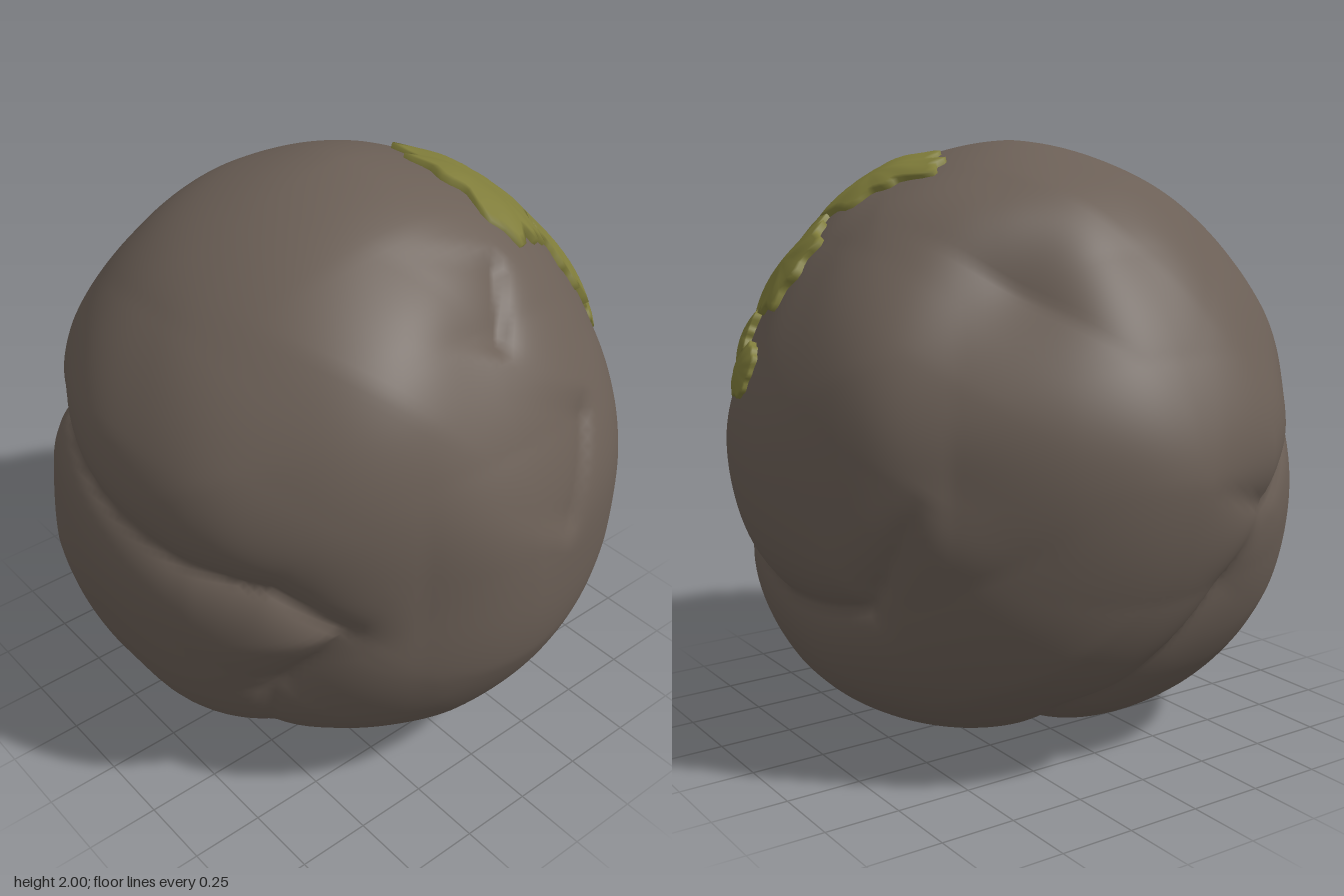
import * as THREE from 'three';
import { mergeVertices } from 'three/addons/utils/BufferGeometryUtils.js';

const rockMat = new THREE.MeshStandardMaterial({ color: 0x6b5f56 });
rockMat.name = 'rock brown';
const mossMat = new THREE.MeshStandardMaterial({ color: 0x7f7c3a });
mossMat.name = 'moss green';

// A plane through the boulder's centre, turned by azimuth and elevation, with evenly spaced radii around it
function section(azimuth, elevation, radii) {
  const a = THREE.MathUtils.degToRad(azimuth), e = THREE.MathUtils.degToRad(elevation);
  const normal = new THREE.Vector3(Math.sin(a) * Math.cos(e), Math.sin(e), Math.cos(a) * Math.cos(e));
  const right = new THREE.Vector3(Math.cos(a), 0, -Math.sin(a));
  return { normal, right, up: normal.clone().cross(right), radii };
}

const sections = [
  section(0, 0, [.97, .94, .91, .95, .99, .97, .955, .99, .98, 1, 1.05, 1.06, 1, 1.02, 1.04, .99]),
  section(-90, 0, [.96, .925, .92, .99, .99, .95, .91, .935, .99, .98, 1.02, 1.02, 1, 1.01, 1.04, 1.03]),
  section(0, -90, [.97, .97, .96, .975, .98, .91, .92, .97, .97, .96, .99, 1.01, 1, .94, .87, .93]),
  section(35, 25, [.92, .88, .82, .98, .97, .97, .985, 1, .97, .95, 1.02, 1.05, 1.04, 1.08, 1.06, 1]),
  section(215, 25, [.96, .97, 1, .97, .98, .965, .96, .965, .94, .92, 1, .985, 1.05, 1.08, 1.07, .985]),
  section(140, -30, [.94, .955, .94, .955, .96, .98, .94, .925, .945, 1, 1.03, 1.07, 1.04, 1.06, 1.07, 1.04]),
];

// Creases: valleys along a path, with their own width on the left and right side
const V = (p) => new THREE.Vector3(...p).normalize();
const crease = (depth, left, right, pts) => ({ depth, left, right, pts: pts.map(V) });
const creases = [
  crease(.07, .1, .09, [[.2, -.85, .5], [.5, -.58, .62], [.78, -.28, .4], [.88, -.45, 0],
    [.8, -.42, -.4], [.75, -.02, -.62]]),
  crease(.07, .1, .09, [[-.05, -.02, -.97], [-.37, -.13, -.89], [-.84, .21, -.44], [-.92, .04, .33],
    [-.75, 0, .6], [-.57, -.18, .75], [-.69, -.5, .5], [-.4, -.92, .2]]),
  crease(.06, .1, .08, [[-.37, -.13, -.89], [-.05, -.6, -.75], [.12, -.81, -.56], [.08, -.97, .12]]),
  crease(.03, .12, .03, [[.13, 0, .95], [.36, .4, .8]]),
  crease(.03, .03, .12, [[.2, .8, .5], [.05, .6, .75]]),
];

// Radius of a section at an angle, between its two nearest values
function sectionRadius(radii, angle) {
  const n = radii.length, s = (angle / (Math.PI * 2) + 1) * n, i = Math.floor(s);
  return THREE.MathUtils.lerp(radii[i % n], radii[(i + 1) % n], s - i);
}

function creaseOffset(d, { depth, left, right, pts }) {
  let best = Infinity, side = 0, along = 0;
  const ab = new THREE.Vector3(), n = new THREE.Vector3(), p = new THREE.Vector3();
  for (let i = 0; i < pts.length - 1; i++) {
    ab.subVectors(pts[i + 1], pts[i]);
    const t = THREE.MathUtils.clamp(p.subVectors(d, pts[i]).dot(ab) / ab.lengthSq(), 0, 1);
    const dist = p.copy(pts[i]).addScaledVector(ab, t).normalize().distanceTo(d);
    if (dist < best) {
      best = dist;
      side = d.dot(n.crossVectors(pts[i], pts[i + 1]).normalize());
      along = (i + t) / (pts.length - 1);
    }
  }
  const fade = Math.min(1, 6 * along, 6 * (1 - along));
  const width = THREE.MathUtils.lerp(right, left, THREE.MathUtils.smoothstep(side, -.02, .02));
  return -depth * fade * Math.exp(-best / width);
}

// Boulder surface along a unit direction, blended from the nearest sections
function rockRadius(d) {
  let sum = 0, weight = 0;
  for (const { normal, right, up, radii } of sections) {
    const a = d.dot(right), b = d.dot(up), off = d.dot(normal);
    const w = (a * a + b * b) / (off * off + .02);
    sum += w * sectionRadius(radii, Math.atan2(b, a));
    weight += w;
  }
  return creases.reduce((r, c) => r + creaseOffset(d, c), sum / weight);
}

function makeBoulder() {
  let geo = new THREE.IcosahedronGeometry(1, 40);
  geo.deleteAttribute('uv');
  geo.deleteAttribute('normal');
  geo = mergeVertices(geo, 1e-4);
  const pos = geo.attributes.position, d = new THREE.Vector3();
  for (let i = 0; i < pos.count; i++) {
    d.fromBufferAttribute(pos, i).normalize();
    d.multiplyScalar(rockRadius(d));
    pos.setXYZ(i, d.x, d.y + 1, d.z);
  }
  geo.computeVertexNormals();
  return new THREE.Mesh(geo, rockMat);
}

// Ragged mat of moss draped over the boulder
function makeMoss(centre, width, height, tilt, ragged, seed) {
  const c = V(centre), rings = 9, segs = 56;
  const u0 = new THREE.Vector3(0, 1, 0).cross(c).normalize(), v0 = c.clone().cross(u0);
  const u = u0.clone().applyAxisAngle(c, tilt), v = v0.clone().applyAxisAngle(c, tilt);
  const verts = [], index = [], d = new THREE.Vector3();
  for (let i = 0; i <= rings; i++) {
    const t = Math.min(i / (rings - 1), 1);
    for (let j = 0; j < segs; j++) {
      const a = j / segs * Math.PI * 2;
      const edge = 1 + ragged * (.4 * Math.sin(3 * a + seed) + .4 * Math.sin(5 * a + seed * 2.3) + .4 * Math.sin(11 * a + seed * 4.1));
      d.copy(c).addScaledVector(u, Math.cos(a) * width * t * edge).addScaledVector(v, Math.sin(a) * height * t * edge).normalize();
      const lump = .006 * Math.sin(23 * d.x + seed) * Math.sin(19 * d.z + 11 * d.y);
      const lift = i === rings ? -.02 : .03 - .014 * t * t + lump;
      d.multiplyScalar(rockRadius(d) + lift);
      verts.push(d.x, d.y + 1, d.z);
      if (i < rings) {
        const k = (j + 1) % segs, p = i * segs, q = p + segs;
        index.push(p + j, q + j, q + k, p + j, q + k, p + k);
      }
    }
  }
  const geo = new THREE.BufferGeometry();
  geo.setAttribute('position', new THREE.Float32BufferAttribute(verts, 3));
  geo.setIndex(index);
  const merged = mergeVertices(geo, 1e-5);
  merged.computeVertexNormals();
  return new THREE.Mesh(merged, mossMat);
}

export function createModel() {
  const group = new THREE.Group();
  group.name = 'mossyBoulder';
  const boulder = makeBoulder();
  boulder.name = 'boulder';
  group.add(boulder);

  const patches = [
    ['upperMoss', [.385, .82, .2], .31, .18, .67, .22, 1],
    ['middleMoss', [.65, .56, .28], .22, .23, .3, .22, 2.7],
    ['lowerMoss', [.8, .345, .36], .08, .1, 0, .18, 4],
    ['sideMoss', [.9, .27, .19], .09, .095, 0, .1, 5.2],
  ];
  for (const [name, ...args] of patches) {
    const moss = makeMoss(...args);
    moss.name = name;
    group.add(moss);
  }
  return group;
}
